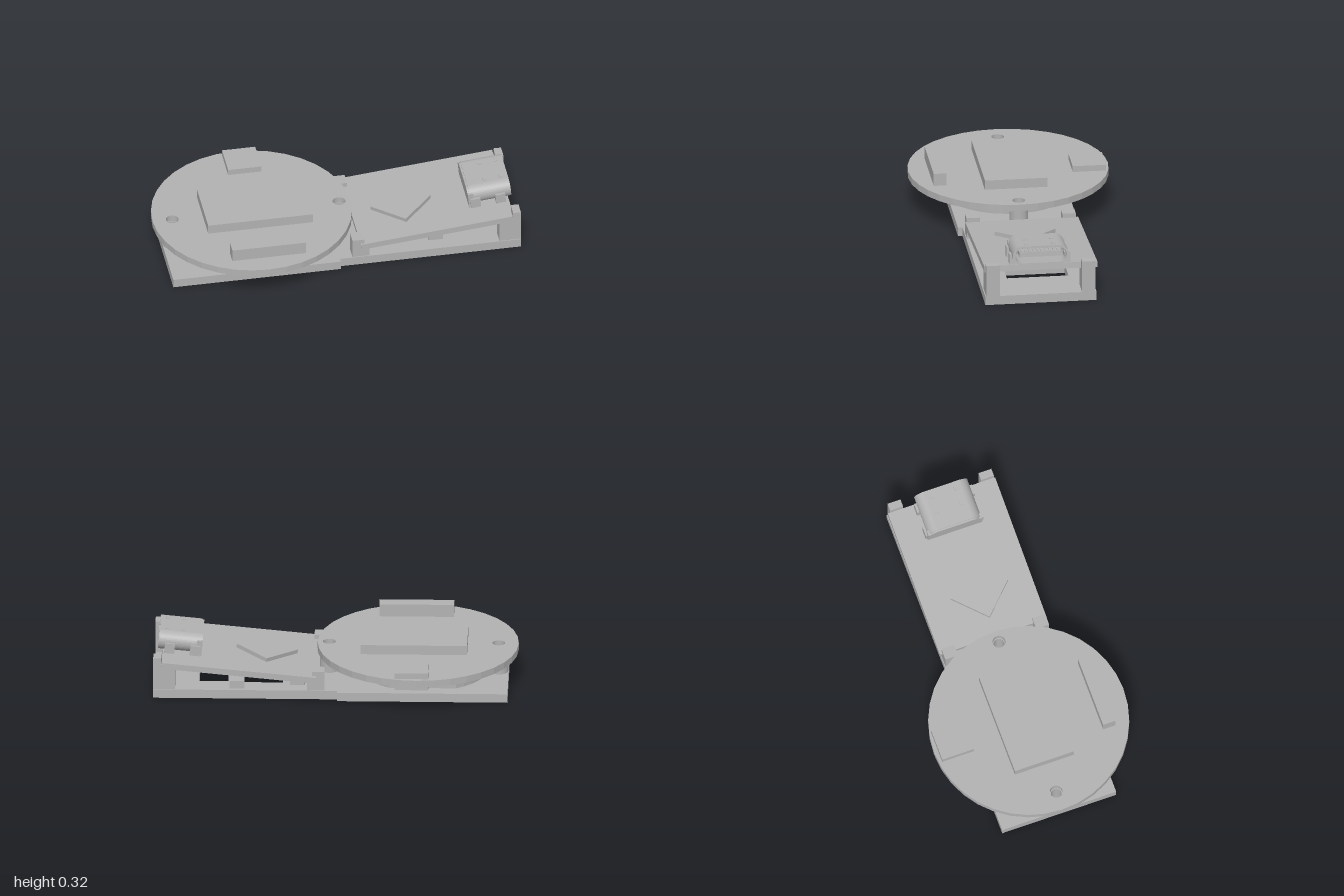
import * as THREE from 'three';

const grey = new THREE.MeshStandardMaterial({ color: 0xb2b2b2 });
grey.name = 'plain grey';

function add(parent, name, geometry) {
  const mesh = new THREE.Mesh(geometry, grey);
  mesh.name = name;
  parent.add(mesh);
  return mesh;
}

// Box given by its limits along x, y and z
function block(parent, name, x0, x1, y0, y1, z0, z1) {
  const g = new THREE.BoxGeometry(x1 - x0, y1 - y0, z1 - z0);
  g.translate((x0 + x1) / 2, (y0 + y1) / 2, (z0 + z1) / 2);
  return add(parent, name, g);
}

// Plan outline (x, z) raised from y0 to y1
function slab(parent, name, shape, y0, y1, curveSegments = 20) {
  const g = new THREE.ExtrudeGeometry(shape, { depth: y1 - y0, bevelEnabled: false, curveSegments });
  g.rotateX(Math.PI / 2).translate(0, y1, 0);
  return add(parent, name, g);
}

const polygon = (pts) => new THREE.Shape(pts.map(([x, z]) => new THREE.Vector2(x, z)));
const rectangle = (x0, x1, z0, z1) => polygon([[x0, z0], [x1, z0], [x1, z1], [x0, z1]]);
const circle = (x, z, r) => new THREE.Shape().absarc(x, z, r, 0, Math.PI * 2);

// Rounded bar outline centred on the origin
function stadium(width, height) {
  const r = height / 2, s = width / 2 - r;
  const shape = new THREE.Shape();
  shape.absarc(s, 0, r, -Math.PI / 2, Math.PI / 2);
  shape.absarc(-s, 0, r, Math.PI / 2, Math.PI * 1.5);
  shape.closePath();
  return shape;
}

const SCREWS = [-0.89, 0.04];

function buildBase(model) {
  const base = new THREE.Group();
  base.name = 'base';
  model.add(base);

  // Floor plate with windows and screw holes
  const floor = polygon([
    [-0.945, -0.335], [-0.01, -0.335], [-0.01, -0.31], [1, -0.31],
    [1, 0.305], [-0.01, 0.305], [-0.01, 0.33], [-0.945, 0.33],
  ]);
  floor.holes.push(
    rectangle(0.29, 0.51, -0.195, 0.165),
    rectangle(0.59, 0.75, -0.185, 0.155),
    polygon([[-0.6, -0.145], [-0.36, -0.145], [-0.26, -0.06], [-0.26, 0.06],
      [-0.36, 0.145], [-0.6, 0.145], [-0.7, 0.06], [-0.7, -0.06]]),
    ...SCREWS.map((x) => circle(x, 0, 0.03)),
  );
  slab(base, 'floorPlate', floor, 0, 0.05, 12);

  // Hollow screw posts
  for (const x of SCREWS) {
    const ring = circle(x, 0, 0.052);
    ring.holes.push(circle(x, 0, 0.03));
    slab(base, 'screwPost', ring, 0.05, 0.18, 12);
  }

  // Corner supports: end columns with stops, and low clips
  for (const [z0, z1] of [[-0.305, -0.23], [0.225, 0.3]]) {
    block(base, 'endColumn', 0.88, 0.957, 0.05, 0.176, z0, z1);
    block(base, 'endStop', 0.957, 1, 0.05, 0.23, z0, z1);
    block(base, 'clipFoot', 0.06, 0.155, 0.05, 0.097, z0, z1);
    block(base, 'clipBack', 0.06, 0.108, 0.05, 0.16, z0, z1);
    block(base, 'clipHook', 0.108, 0.127, 0.135, 0.16, z0, z1);
  }

  // Ribs under the sloping board
  block(base, 'lowRib', 0.17, 0.25, 0.05, 0.073, -0.23, 0.17);
  block(base, 'sideRest', 0.5, 0.58, 0.05, 0.095, 0.17, 0.225);
  block(base, 'sideRest', 0.5, 0.58, 0.05, 0.095, -0.29, -0.23);
}

function buildRoundBoard(model) {
  const board = new THREE.Group();
  board.name = 'roundBoard';
  model.add(board);

  const disc = circle(-0.448, -0.002, 0.552);
  disc.holes.push(...SCREWS.map((x) => circle(x, 0, 0.035)));
  slab(board, 'disc', disc, 0.178, 0.216, 18);

  // Coin cell with one flattened side
  const cell = new THREE.Shape();
  cell.absarc(-0.48, 0, 0.36, -1.037, Math.PI + 1.037);
  cell.closePath();
  slab(board, 'coinCell', cell, 0.072, 0.178, 18);

  block(board, 'mainChip', -0.72, -0.135, 0.216, 0.27, -0.18, 0.165);
  block(board, 'barConnector', -0.635, -0.225, 0.16, 0.287, 0.365, 0.437);
  block(board, 'squareChip', -0.515, -0.33, 0.15, 0.25, -0.53, -0.345);
}

function buildPort(parent) {
  const port = new THREE.Group();
  port.name = 'port';
  port.position.set(0.635, 0.09, -0.005);
  parent.add(port);

  // Extrude a (z, y) outline along x
  const along = (name, shape, x0, x1) => {
    const g = new THREE.ExtrudeGeometry(shape, { depth: x1 - x0, bevelEnabled: false, curveSegments: 10 });
    g.rotateY(Math.PI / 2).translate(x0, 0, 0);
    return add(port, name, g);
  };

  // Metal shell, closed at the rear
  const shell = stadium(0.31, 0.108);
  shell.holes.push(stadium(0.285, 0.084));
  along('shell', shell, 0.01, 0.24);
  along('rearWall', stadium(0.3, 0.1), 0, 0.05);

  // Contact tongue and its pads
  block(port, 'tongue', 0.05, 0.215, -0.014, 0.014, -0.115, 0.115);
  block(port, 'tongueRoot', 0.05, 0.12, -0.026, 0.026, -0.12, 0.12);
  for (let i = 0; i < 10; i++) {
    const z = -0.1 + i * 0.0222;
    for (const y of [-0.017, 0.014]) block(port, 'contact', 0.12, 0.205, y, y + 0.003, z - 0.006, z + 0.006);
  }

  // Mounting legs and spring dimples
  for (const s of [-1, 1]) {
    for (const x of [0.01, 0.15]) {
      const z = [s * 0.135, s * 0.168].sort((a, b) => a - b);
      block(port, 'mountingLeg', x, x + 0.055, -0.065, 0.0, z[0], z[1]);
    }
    for (const x of [0.1, 0.19]) block(port, 'springTab', x, x + 0.02, 0.05, 0.058, s * 0.075 - 0.012, s * 0.075 + 0.012);
  }
  block(port, 'rearFlange', 0, 0.03, -0.056, 0.03, -0.158, 0.158);
}

function buildSlopingBoard(model) {
  const board = new THREE.Group();
  board.name = 'slopingBoard';
  board.position.set(0.11, 0.096, 0);
  board.rotation.z = 0.095;
  model.add(board);

  block(board, 'plate', 0, 0.85, 0, 0.034, -0.32, 0.305);

  // Chip turned to a diamond
  const chip = block(board, 'diamondChip', -0.119, 0.119, 0.034, 0.056, -0.119, 0.119);
  chip.position.set(0.277, 0, 0.008);
  chip.rotation.y = Math.PI / 4;

  buildPort(board);
}

export function createModel() {
  const model = new THREE.Group();
  model.name = 'circuitAssembly';
  buildBase(model);
  buildRoundBoard(model);
  buildSlopingBoard(model);
  return model;
}
